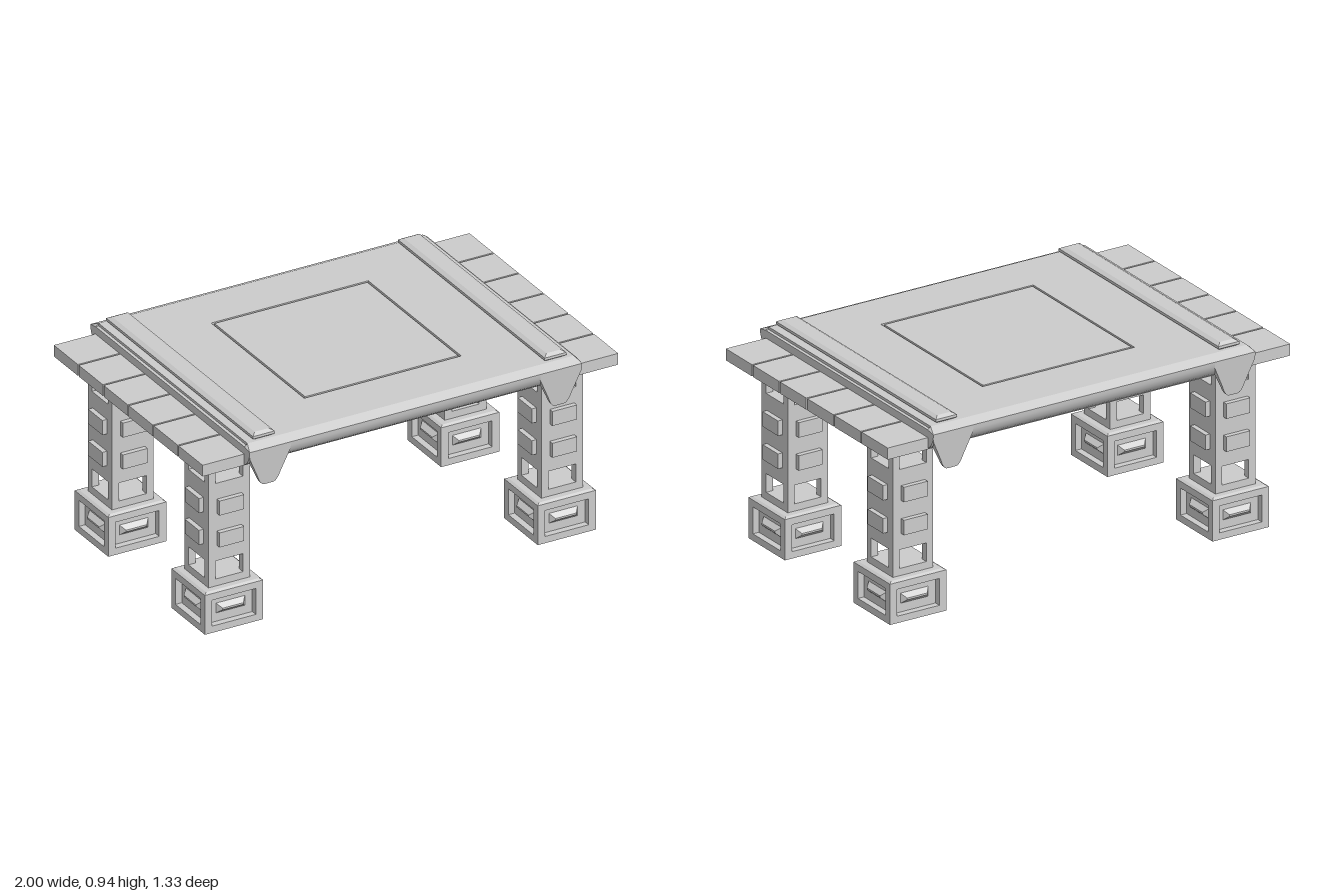
import * as THREE from 'three';
import { toCreasedNormals } from 'three/addons/utils/BufferGeometryUtils.js';

const material = new THREE.MeshStandardMaterial({ color: 0xcccccc });

function add(parent, name, geometry, x = 0, y = 0, z = 0) {
  const mesh = new THREE.Mesh(geometry, material);
  mesh.name = name;
  mesh.position.set(x, y, z);
  parent.add(mesh);
  return mesh;
}

// Box standing on y = 0 whose top or bottom can be drawn in
function block(w, h, d, topInset = 0, bottomInset = 0) {
  const g = new THREE.BoxGeometry(w, h, d).toNonIndexed();
  const p = g.attributes.position;
  for (let i = 0; i < p.count; i++) {
    const inset = p.getY(i) > 0 ? topInset : bottomInset;
    p.setX(i, p.getX(i) - Math.sign(p.getX(i)) * inset);
    p.setZ(i, p.getZ(i) - Math.sign(p.getZ(i)) * inset);
  }
  g.computeVertexNormals();
  return g.translate(0, h / 2, 0);
}

function rectangle(w, h, Type = THREE.Shape) {
  return new Type([[-w, -h], [w, -h], [w, h], [-w, h]].map(([x, y]) => new THREE.Vector2(x / 2, y / 2)));
}

function extrude(shape, depth) {
  return new THREE.ExtrudeGeometry(shape, { depth, bevelEnabled: false, curveSegments: 6 });
}

// Foot with a framed, recessed panel and a raised gem on every side
function createFoot() {
  const foot = new THREE.Group();
  foot.name = 'foot';
  add(foot, 'footCore', block(0.22, 0.185, 0.22), 0, 0.01, 0);
  add(foot, 'footBottom', block(0.28, 0.01, 0.28, 0, 0.02));
  add(foot, 'footTop', block(0.28, 0.007, 0.28, 0.012), 0, 0.195, 0);
  for (let i = 0; i < 4; i++) {
    const side = new THREE.Group();
    side.name = 'footPanel';
    side.rotation.y = i * Math.PI / 2;
    foot.add(side);
    const frame = rectangle(i % 2 ? 0.22 : 0.28, 0.185);
    frame.holes.push(rectangle(0.21, 0.122, THREE.Path));
    add(side, 'panelFrame', extrude(frame, 0.03), 0, 0.1025, 0.11);
    // gem: a hipped block turned to face outward
    const gem = block(0.138, 0.022, 0.046, 0.019).rotateX(Math.PI / 2);
    add(side, 'panelGem', gem, 0, 0.104, 0.11);
  }
  return foot;
}

// Square post with openings through both directions and projecting pegs
function createLeg(x, z) {
  const leg = new THREE.Group();
  leg.name = 'leg';
  leg.position.set(x, 0, z);
  leg.add(createFoot());
  for (const [y0, y1] of [[0.2, 0.235], [0.32, 0.685], [0.77, 0.806]]) {
    add(leg, 'legPost', block(0.2, y1 - y0, 0.2), 0, y0, 0);
  }
  for (const y of [0.235, 0.685])
    for (const sx of [-1, 1])
      for (const sz of [-1, 1])
        add(leg, 'windowCorner', block(0.034, 0.085, 0.034), sx * 0.083, y, sz * 0.083);
  for (const y of [0.392, 0.542]) {
    add(leg, 'pegAcross', block(0.244, 0.068, 0.118), 0, y, 0);
    add(leg, 'pegAlong', block(0.118, 0.068, 0.244), 0, y, 0);
  }
  return leg;
}

// Cloth: folded section across the table, with a top sheet cut by a square groove
function createCloth() {
  const cloth = new THREE.Group();
  cloth.name = 'cloth';
  cloth.position.z = -0.002;
  const half = [[0.62, 0.893], [0.62, 0.905], [0.664, 0.885], [0.662, 0.865], [0.654, 0.843],
    [0.64, 0.823], [0.62, 0.807], [0.614, 0.807], [0.614, 0.858]];
  const outline = [...half, ...half.map(([z, y]) => [-z, y]).reverse()];
  const section = new THREE.Shape(outline.map(([z, y]) => new THREE.Vector2(z, y)));
  const body = extrude(section, 1.6).translate(0, 0, -0.8).rotateY(Math.PI / 2);
  const p = body.attributes.position;
  for (let i = 0; i < p.count; i++) {
    if (p.getY(i) > 0.9) p.setX(i, p.getX(i) * 0.982);
  }
  add(cloth, 'clothBody', toCreasedNormals(body, 0.5));

  const sheet = rectangle(1.571, 1.24);
  sheet.holes.push(rectangle(0.756, 0.776, THREE.Path));
  add(cloth, 'clothTop', extrude(sheet, 0.012).rotateX(-Math.PI / 2), 0, 0.893, 0);
  add(cloth, 'clothCentre', block(0.736, 0.012, 0.756), 0, 0.893, 0);

  // Hanging corner flaps, thinning toward the tip
  const flap = new THREE.Shape();
  flap.moveTo(0.1, 0.885);
  flap.lineTo(-0.1, 0.885);
  flap.lineTo(-0.098, 0.852);
  flap.lineTo(-0.055, 0.755);
  flap.quadraticCurveTo(-0.04, 0.71, -0.02, 0.71);
  flap.lineTo(0.02, 0.71);
  flap.quadraticCurveTo(0.04, 0.71, 0.055, 0.755);
  flap.lineTo(0.098, 0.852);
  const flapGeometry = extrude(flap, 1);
  const q = flapGeometry.attributes.position;
  for (let i = 0; i < q.count; i++) {
    const t = (0.885 - q.getY(i)) / 0.175;
    q.setZ(i, q.getZ(i) > 0.5 ? 0.664 - 0.015 * t : 0.618 + 0.02 * t);
  }
  const smoothFlap = toCreasedNormals(flapGeometry, 0.6);
  for (const turn of [0, Math.PI])
    for (const x of [-0.7, 0.7])
      add(cloth, 'cornerFlap', smoothFlap, x, 0, 0).rotation.y = turn;
  return cloth;
}

export function createModel() {
  const table = new THREE.Group();
  table.name = 'table';

  // Table top planks
  for (let i = 0; i < 6; i++) {
    add(table, 'plank', block(2, 0.053, 0.2), 0, 0.805, -0.524 + i * 0.208);
  }

  for (const x of [-0.805, 0.797])
    for (const z of [-0.405, 0.4]) table.add(createLeg(x, z));

  table.add(createCloth());

  // Bevelled battens holding the cloth
  for (const x of [-0.702, 0.702]) {
    const batten = new THREE.Group();
    batten.name = 'batten';
    batten.position.set(x, 0.903, -0.002);
    add(batten, 'battenFoot', block(0.104, 0.01, 1.224, 0, 0.014));
    add(batten, 'battenBody', block(0.104, 0.012, 1.224), 0, 0.01, 0);
    add(batten, 'battenTop', block(0.104, 0.01, 1.224, 0.018), 0, 0.022, 0);
    table.add(batten);
  }
  return table;
}
